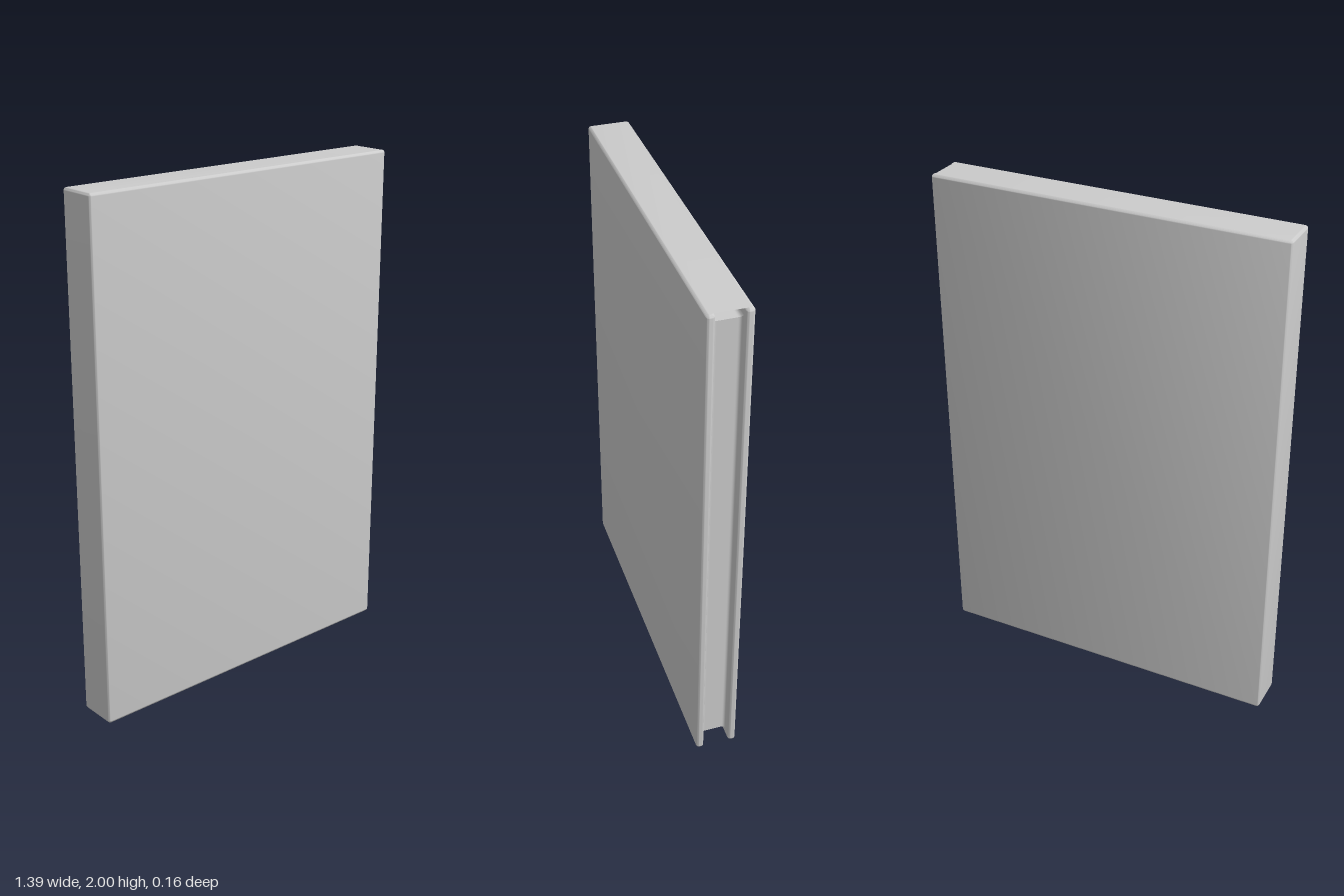
import * as THREE from 'three';
import { toCreasedNormals } from 'three/addons/utils/BufferGeometryUtils.js';

const H = 2, LEFT = -0.695, RIGHT = 0.695, HALF = 0.08;
const INNER = 0.05, SPINE_INNER = -0.64;
const PAGE_BOTTOM = 0.047, PAGE_TOP = 1.953, PAGE_EDGE = 0.657;

// Closed outline with a circular-looking round of radius r at every corner
function roundedOutline(corners) {
  const shape = new THREE.Shape();
  const n = corners.length;
  corners.forEach(([x, y, r], i) => {
    const p = new THREE.Vector2(x, y);
    const toward = ([a, b]) => new THREE.Vector2(a, b).sub(p).setLength(r).add(p);
    const start = toward(corners[(i + n - 1) % n]);
    const end = toward(corners[(i + 1) % n]);
    if (i === 0) shape.moveTo(start.x, start.y);
    else shape.lineTo(start.x, start.y);
    shape.quadraticCurveTo(x, y, end.x, end.y);
  });
  shape.closePath();
  return shape;
}

// Both boards and the spine: a U-shaped section extruded upward with soft edges
function coverGeometry() {
  const r = 0.0145, bevel = 0.011;
  const shape = roundedOutline([
    [LEFT, -HALF, r], [RIGHT, -HALF, r], [RIGHT, -INNER, r], [SPINE_INNER, -INNER, 0.012],
    [SPINE_INNER, INNER, 0.012], [RIGHT, INNER, r], [RIGHT, HALF, r], [LEFT, HALF, r],
  ]);
  const geo = new THREE.ExtrudeGeometry(shape, {
    depth: H - 2 * bevel, curveSegments: 6,
    bevelEnabled: true, bevelSize: bevel, bevelThickness: bevel, bevelOffset: -bevel, bevelSegments: 5,
  });
  geo.rotateX(-Math.PI / 2).translate(0, bevel, 0);
  return toCreasedNormals(geo, 0.7);
}

// Page block whose edges flare in a small concave fillet where they meet the boards
function pagesGeometry() {
  const fillet = 0.014, depth = 2 * INNER + 0.004;
  const w = PAGE_EDGE - SPINE_INNER + 0.02, h = PAGE_TOP - PAGE_BOTTOM;
  const geo = new THREE.BoxGeometry(w, h, depth, 1, 1, 40);
  const pos = geo.attributes.position;
  for (let i = 0; i < pos.count; i++) {
    const t = Math.min(1, Math.max(0, (Math.abs(pos.getZ(i)) - INNER + fillet) / fillet));
    const flare = fillet * (1 - Math.sqrt(1 - t * t));
    if (pos.getX(i) > 0) pos.setX(i, pos.getX(i) + flare);
    pos.setY(i, pos.getY(i) + Math.sign(pos.getY(i)) * flare);
  }
  geo.computeVertexNormals();
  return geo.translate(PAGE_EDGE - w / 2, (PAGE_TOP + PAGE_BOTTOM) / 2, 0);
}

export function createModel() {
  const book = new THREE.Group();
  book.name = 'book';
  const material = new THREE.MeshStandardMaterial({ color: 0xcccccc });
  const add = (name, geometry) => {
    const mesh = new THREE.Mesh(geometry, material);
    mesh.name = name;
    book.add(mesh);
  };
  add('cover', coverGeometry());
  add('pages', pagesGeometry());
  return book;
}
